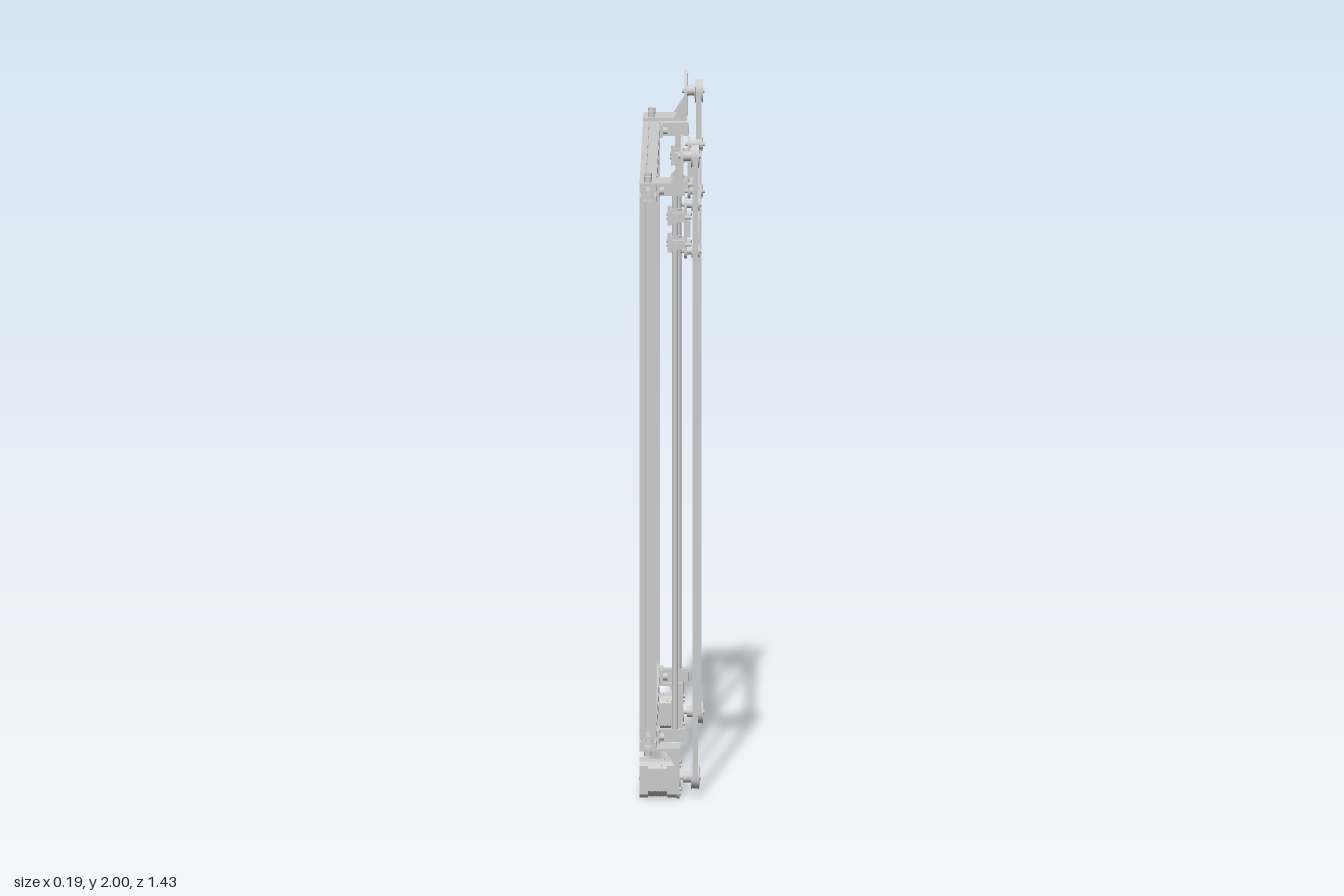
import * as THREE from 'three';

const grey = new THREE.MeshStandardMaterial({ color: 0xcccccc });
const FRAME_X = -0.07;   // centre of the frame profiles
const BELT_X = 0.071;    // centre of the belts
const AXIS_Z = 0.653;    // motor and idler axis
const ROD_Z = 0.6;       // guide rod axis
const ROD_X = 0.01;

function add(parent, name, geometry, x = 0, y = 0, z = 0) {
  const mesh = new THREE.Mesh(geometry, grey);
  mesh.name = name;
  mesh.position.set(x, y, z);
  parent.add(mesh);
  return mesh;
}

const box = (g, name, x0, x1, y0, y1, z, w) =>
  add(g, name, new THREE.BoxGeometry(x1 - x0, y1 - y0, w), (x0 + x1) / 2, (y0 + y1) / 2, z);

// Cylinder lying along x
const disc = (g, name, x0, x1, r, y, z, sides = 24) =>
  add(g, name, new THREE.CylinderGeometry(r, r, x1 - x0, sides).rotateZ(Math.PI / 2), (x0 + x1) / 2, y, z);

// Upright cylinder
const pin = (g, name, r, y0, y1, x, z, sides = 16) =>
  add(g, name, new THREE.CylinderGeometry(r, r, y1 - y0, sides), x, (y0 + y1) / 2, z);

// Shape drawn in (z, y), given a thickness from x0 to x1
function plateX(g, name, shape, x0, x1, y = 0, z = 0) {
  const geo = new THREE.ExtrudeGeometry(shape, { depth: x1 - x0, bevelEnabled: false, curveSegments: 20 });
  return add(g, name, geo.rotateY(-Math.PI / 2), x1, y, z);
}

// Slotted aluminium profile, extruded along z
function profile(length) {
  const quarter = [[0.025, -0.025], [0.025, -0.007], [0.019, -0.007], [0.019, -0.014], [0.011, -0.006],
    [0.011, 0.006], [0.019, 0.014], [0.019, 0.007], [0.025, 0.007]];
  const pts = [];
  for (let i = 0; i < 4; i++) {
    for (const [x, y] of quarter) pts.push(new THREE.Vector2(x, y).rotateAround(new THREE.Vector2(), i * Math.PI / 2));
  }
  const shape = new THREE.Shape(pts);
  shape.holes.push(new THREE.Path().absarc(0, 0, 0.005, 0, Math.PI * 2, true));
  return new THREE.ExtrudeGeometry(shape, { depth: length, bevelEnabled: false, curveSegments: 6 })
    .translate(0, 0, -length / 2);
}

// Closed upright outline: two half circles joined by straight runs
function loopPath(path, r, y0, y1) {
  path.absarc(0, y1, r, 0, Math.PI, false);
  path.absarc(0, y0, r, Math.PI, Math.PI * 2, false);
  path.closePath();
  return path;
}

function pulley(g, y, z, r) {
  disc(g, 'pulleyHub', BELT_X - 0.009, BELT_X + 0.009, r - 0.002, y, z, 32);
  for (const d of [-0.012, 0.009]) disc(g, 'pulleyFlange', BELT_X + d, BELT_X + d + 0.003, r + 0.002, y, z, 32);
}

function topBracket(g, z) {
  const s = new THREE.Shape();
  s.moveTo(-0.063, 1.855);
  s.lineTo(0.063, 1.855);
  s.lineTo(0.063, 1.937);
  s.absarc(0, 1.937, 0.063, 0, Math.PI, false);
  s.closePath();
  plateX(g, 'idlerPlate', s, 0.028, 0.036, 0, z);
  box(g, 'idlerBracketBase', -0.095, 0.03, 1.855, 1.863, z, 0.126);
}

function motorBracket(g, z) {
  const s = new THREE.Shape();
  s.moveTo(-0.063, 0.155);
  s.lineTo(-0.063, 0.021);
  s.absarc(-0.045, 0.021, 0.018, Math.PI, Math.PI * 1.5, false);
  s.absarc(0.045, 0.021, 0.018, Math.PI * 1.5, Math.PI * 2, false);
  s.lineTo(0.063, 0.155);
  s.closePath();
  s.holes.push(new THREE.Path().absarc(0, 0.06, 0.034, 0, Math.PI * 2, true));
  plateX(g, 'motorPlate', s, 0.016, 0.024, 0, z);
  box(g, 'motorBracketTop', -0.095, 0.02, 0.147, 0.155, z, 0.126);
}

// Triangular stiffener; corner at (x, y), legs running to -x and along dir in y
function gusset(g, x, y, dir, z) {
  const s = new THREE.Shape();
  s.moveTo(x, y);
  s.lineTo(x, y + dir * 0.055);
  s.lineTo(x - 0.035, y);
  s.closePath();
  add(g, 'gusset', new THREE.ExtrudeGeometry(s, { depth: 0.006, bevelEnabled: false }), 0, 0, z - 0.003);
}

function motor(g, z) {
  // Square outline with cut corners, used for end caps, core and laminations
  const section = (h, c) => new THREE.Shape([[h, -h + c], [h, h - c], [h - c, h], [-h + c, h],
    [-h, h - c], [-h, -h + c], [-h + c, -h], [h - c, -h]].map(([a, b]) => new THREE.Vector2(a, b)));
  plateX(g, 'motorRearCap', section(0.055, 0.012), -0.095, -0.07, 0.06, z);
  plateX(g, 'motorCore', section(0.051, 0.018), -0.07, -0.012, 0.06, z);
  for (let i = 0; i < 8; i++) {
    const x = -0.067 + i * 0.007;
    plateX(g, 'motorLamination', section(0.053, 0.018), x, x + 0.0035, 0.06, z);
  }
  plateX(g, 'motorFrontCap', section(0.055, 0.012), -0.012, 0.016, 0.06, z);
  disc(g, 'motorBoss', 0.016, 0.027, 0.029, 0.06, z, 32);
  disc(g, 'motorShaft', -0.097, 0.088, 0.007, 0.06, z);
  disc(g, 'pulleyCollar', 0.035, 0.058, 0.016, 0.06, z);
  for (const a of [-1, 1]) for (const b of [-1, 1]) disc(g, 'motorScrew', 0.024, 0.029, 0.006, 0.06 + a * 0.042, z + b * 0.042, 12);
}

// Clamp that ties a guide rod to a horizontal profile
function rodClamp(g, y, z) {
  box(g, 'clampFlange', -0.045, -0.035, y - 0.02, y + 0.02, z, 0.11);
  box(g, 'clampArm', -0.035, 0.04, y - 0.019, y + 0.019, z, 0.036);
  for (const s of [-1, 1]) {
    disc(g, 'clampBolt', -0.035, -0.022, 0.011, y, z + s * 0.04, 16);
    box(g, 'clampEar', 0.024, 0.04, y - 0.014, y + 0.014, z + s * 0.02, 0.016);
  }
}

function carriage(g, z) {
  const s = loopPath(new THREE.Shape(), 0.023, 1.642, 1.783);
  plateX(g, 'carriagePlate', s, 0.038, 0.046, 0, z);
  for (const y of [1.667, 1.749]) {
    pin(g, 'rodBearing', 0.019, y - 0.022, y + 0.022, ROD_X, z, 24);
    box(g, 'bearingBlock', 0.012, 0.038, y - 0.016, y + 0.016, z, 0.05);
    disc(g, 'plateBolt', 0.046, 0.056, 0.009, y, z, 6);
    // Paired screws with nuts on each side of the bearing
    for (const k of [-1, 1]) {
      box(g, 'bearingEar', 0.0, 0.04, y - 0.013, y + 0.013, z + k * 0.034, 0.028);
      disc(g, 'earScrew', -0.015, 0.06, 0.006, y, z + k * 0.04, 12);
      box(g, 'earNut', -0.012, 0.002, y - 0.023, y + 0.023, z + k * 0.04, 0.016);
      add(g, 'sideScrew', new THREE.CylinderGeometry(0.01, 0.01, 0.016, 12).rotateX(Math.PI / 2), 0.015, y, z + k * 0.052);
    }
  }
  box(g, 'carriageSpacer', 0.046, 0.056, 1.685, 1.735, z, 0.036);
  for (const y of [1.642, 1.783]) {
    disc(g, 'crossIdlerAxle', 0.03, 0.09, 0.006, y, z, 16);
    disc(g, 'crossIdlerSpacer', 0.046, 0.06, 0.011, y, z, 16);
    pulley(g, y, z, 0.018);
  }
}

export function createModel() {
  const model = new THREE.Group();
  model.name = 'beltGantryFrame';

  // Rectangular frame
  const frame = new THREE.Group();
  frame.name = 'frame';
  model.add(frame);
  for (const y of [0.18, 1.83]) add(frame, 'horizontalProfile', profile(1.43), FRAME_X, y, 0);
  for (const s of [-1, 1]) add(frame, 'verticalProfile', profile(1.6).rotateX(Math.PI / 2), FRAME_X, 1.005, s * 0.688);

  for (const s of [-1, 1]) {
    const side = new THREE.Group();
    side.name = s > 0 ? 'frontDrive' : 'rearDrive';
    model.add(side);
    const z = s * AXIS_Z, rodZ = s * ROD_Z;

    // Top idler
    topBracket(side, z);
    disc(side, 'idlerAxle', 0.02, 0.088, 0.008, 1.937, z);
    disc(side, 'idlerSpacer', 0.036, 0.058, 0.015, 1.937, z);
    pulley(side, 1.937, z, 0.033);

    // Bottom motor
    motorBracket(side, z);
    motor(side, z);
    pulley(side, 0.06, z, 0.033);
    for (const k of [-1, 1]) {
      gusset(side, 0.03, 1.862, 1, z + k * 0.06);
      gusset(side, 0.018, 0.148, -1, z + k * 0.06);
      pin(side, 'topBolt', 0.011, 1.863, 1.88, FRAME_X, z + k * 0.034);
      pin(side, 'bottomBolt', 0.011, 0.13, 0.147, FRAME_X, z + k * 0.034);
    }

    // Thin drive belt
    const belt = loopPath(new THREE.Shape(), 0.0335, 0.06, 1.937);
    belt.holes.push(loopPath(new THREE.Path(), 0.032, 0.06, 1.937));
    plateX(side, 'driveBelt', belt, BELT_X - 0.008, BELT_X + 0.008, 0, z);

    // Guide rod with its clamps and carriage
    pin(side, 'guideRod', 0.009, 0.165, 1.845, ROD_X, rodZ, 20);
    for (const y of [0.18, 1.83]) rodClamp(side, y, rodZ);
    carriage(side, rodZ);
  }

  // Thin cross belt running between the carriages
  for (const y of [1.66, 1.765]) box(model, 'crossBelt', BELT_X - 0.008, BELT_X + 0.008, y - 0.0008, y + 0.0008, 0, ROD_Z * 2);
  return model;
}
